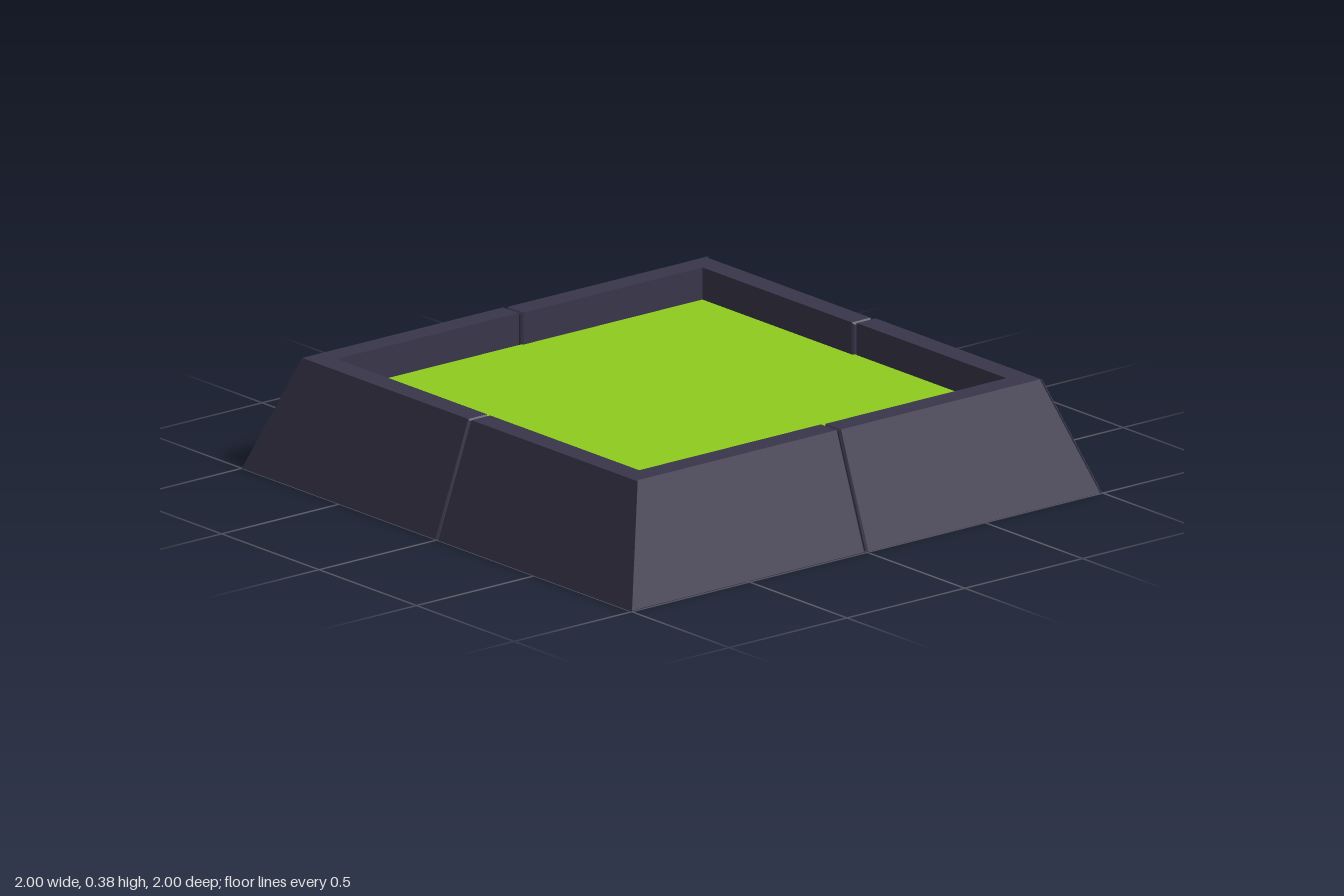
import * as THREE from 'three';

const HEIGHT = 0.385;
// Wall cross-section as [distance from centre, height]
const PROFILE = [[1, 0], [0.86, HEIGHT], [0.78, HEIGHT], [0.78, 0]];
// The same section, slightly shrunk for the chamfer at the middle seam
const CHAMFERED = [[0.994, 0], [0.854, HEIGHT - 0.008], [0.786, HEIGHT - 0.008], [0.786, 0]];

// Half a wall on the +z side: seam at x = 0, mitred corner at x = dir
function wallGeometry(dir) {
  const sections = [
    CHAMFERED.map(([d, y]) => [0.001 * dir, y, d]),
    PROFILE.map(([d, y]) => [0.008 * dir, y, d]),
    PROFILE.map(([d, y]) => [d * dir, y, d]),
  ];
  const positions = [];
  const quad = (a, b, c, d) => {
    const corners = dir > 0 ? [a, b, c, a, c, d] : [a, c, b, a, d, c];
    corners.forEach((p) => positions.push(...p));
  };
  for (let i = 0; i < sections.length - 1; i++) {
    const [s, t] = [sections[i], sections[i + 1]];
    for (let j = 0; j < 4; j++) {
      const k = (j + 1) % 4;
      quad(s[j], t[j], t[k], s[k]);
    }
  }
  const [first, last] = [sections[0], sections[sections.length - 1]];
  quad(...first);
  quad(...[...last].reverse());
  const geometry = new THREE.BufferGeometry();
  geometry.setAttribute('position', new THREE.Float32BufferAttribute(positions, 3));
  geometry.computeVertexNormals();
  return geometry;
}

export function createModel() {
  const model = new THREE.Group();
  model.name = 'raisedBed';
  const stone = new THREE.MeshStandardMaterial({ color: 0x39364b, flatShading: true });
  const grass = new THREE.MeshStandardMaterial({ color: 0x8fcc1e, side: THREE.DoubleSide });

  // Four walls of two blocks each, a few blocks set slightly inward
  const halves = [[-1, wallGeometry(-1)], [1, wallGeometry(1)]];
  const insets = [[0.008, 0.004], [0.004, 0.012], [0.006, 0], [0, 0]];
  ['front', 'left', 'back', 'right'].forEach((side, i) => {
    const wall = new THREE.Group();
    wall.name = side + 'Wall';
    wall.rotation.y = i * Math.PI / 2;
    halves.forEach(([dir, geometry], h) => {
      const block = new THREE.Mesh(geometry, stone);
      block.name = side + (dir < 0 ? 'BlockA' : 'BlockB');
      block.position.z = -insets[i][h];
      wall.add(block);
    });
    model.add(wall);
  });

  // Lawn set below the rim, open underneath
  const lawn = new THREE.Mesh(new THREE.PlaneGeometry(1.56, 1.56), grass);
  lawn.name = 'lawn';
  lawn.rotation.x = -Math.PI / 2;
  lawn.position.y = 0.275;
  model.add(lawn);
  return model;
}
